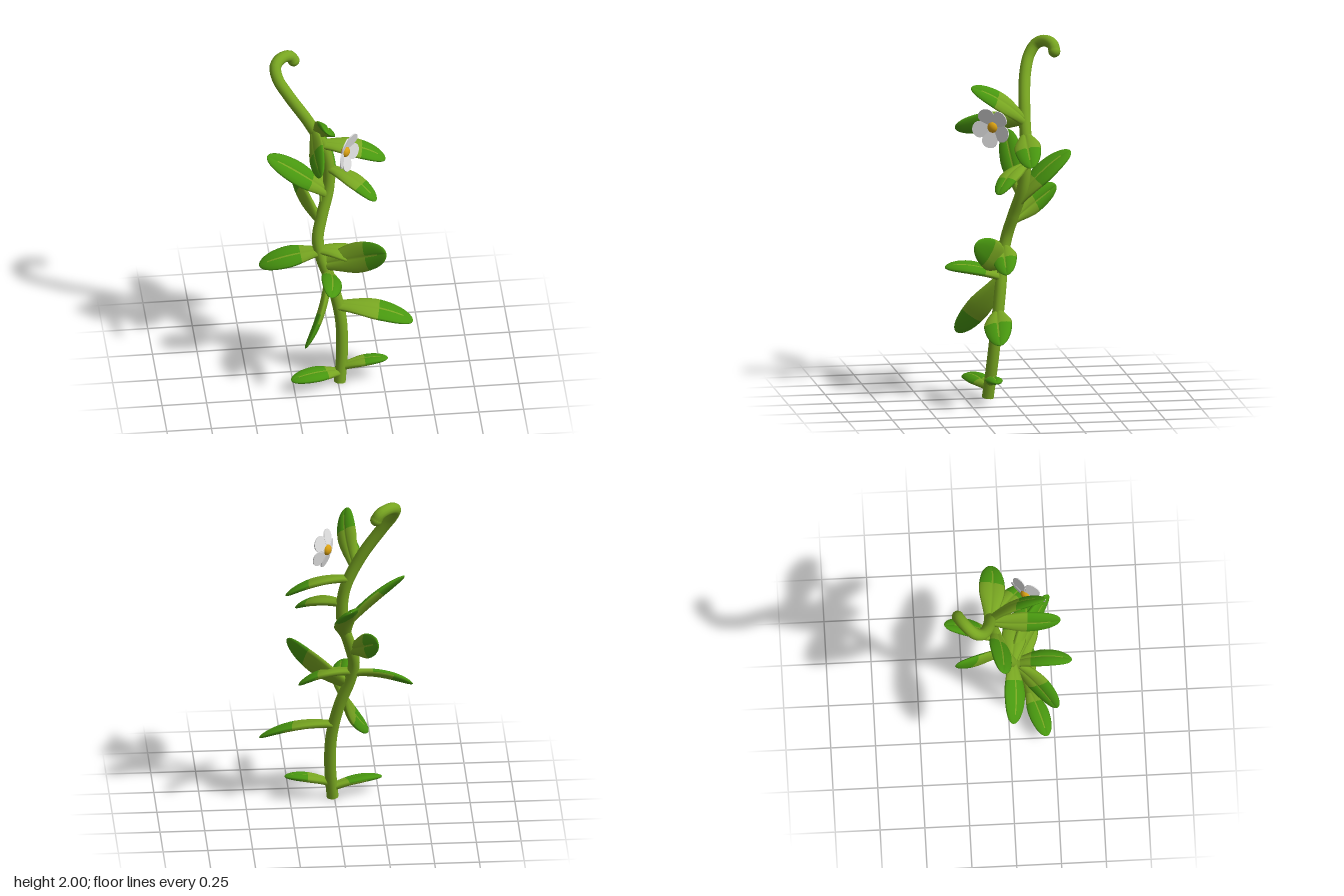
import * as THREE from 'three';

const V = (a) => new THREE.Vector3(...a);
const mat = (name, color) => {
  const m = new THREE.MeshStandardMaterial({ color });
  m.name = name;
  return m;
};

// Solid leaf: elliptical cross-sections swept along an arched midrib.
// Group 0 is the pale base and midrib, group 1 the darker blade.
function leafGeometry(a, tip, width, facing, bend, topSplit) {
  const b = V(tip);
  const chord = b.clone().sub(a).normalize();
  const up = V(facing).addScaledVector(chord, -V(facing).dot(chord)).normalize();
  const mid = a.clone().lerp(b, 0.5).addScaledVector(up, bend);
  const curve = new THREE.QuadraticBezierCurve3(a, mid, b);
  const deg = [0, 25, 52, 76, 86, 94, 104, 128, 155, 180, 215, 250, 290, 325];
  const M = deg.length, N = 20, pos = [], pale = [], dark = [];
  for (let i = 0; i <= N; i++) {
    const u = Math.sin((i / N) * Math.PI / 2);
    const p = curve.getPoint(u), t = curve.getTangent(u);
    const n = up.clone().addScaledVector(t, -up.dot(t)).normalize();
    const s = t.clone().cross(n);
    const round = Math.sqrt(Math.max(0.0004, 1 - Math.max(0, (u - 0.45) / 0.55) ** 2.3));
    const w = width / 2 * (0.4 + 0.6 * THREE.MathUtils.smoothstep(u, -0.1, 0.52)) * round;
    const h = 0.022 * round;
    deg.forEach((d, j) => {
      const r = d * Math.PI / 180;
      const groove = (j === 4 || j === 5) ? 0.72 : 1;
      const q = p.clone().addScaledVector(s, Math.cos(r) * w).addScaledVector(n, Math.sin(r) * h * groove);
      pos.push(q.x, q.y, q.z);
      if (i === N) return;
      const A = i * M + j, B = i * M + (j + 1) % M, D = A + M, C = B + M;
      const isPale = u < (j < 9 ? topSplit : 0.6) || (j === 4 && u < 0.85);
      (isPale ? pale : dark).push(A, D, B, D, C, B);
    });
  }
  const g = new THREE.BufferGeometry();
  g.setAttribute('position', new THREE.Float32BufferAttribute(pos, 3));
  g.setIndex([...pale, ...dark]);
  g.addGroup(0, pale.length, 0);
  g.addGroup(pale.length, dark.length, 1);
  g.computeVertexNormals();
  return g;
}

export function createModel() {
  const model = new THREE.Group();
  model.name = 'floweringVine';
  const stemGreen = mat('stemGreen', 0x78a621);
  const leafGreen = mat('leafGreen', 0x48970f);
  const petalWhite = mat('petalWhite', 0xe0e0e0);
  const centreYellow = mat('centreYellow', 0xd9a012);
  petalWhite.side = THREE.DoubleSide;
  const add = (parent, name, geo, material) => {
    const m = new THREE.Mesh(geo, material);
    m.name = name;
    parent.add(m);
    return m;
  };

  // Winding stem with a hooked top
  const path = [
    [0.01, 0.005, 0.125], [0.025, 0.2, 0.102], [0.02, 0.4, 0.078], [-0.02, 0.6, 0.05],
    [-0.085, 0.79, 0.022], [-0.1, 0.9, -0.002], [-0.075, 1.02, -0.035], [-0.03, 1.2, -0.083],
    [-0.042, 1.4, -0.1], [-0.13, 1.6, -0.107], [-0.25, 1.79, -0.132], [-0.307, 1.885, -0.165],
    [-0.316, 1.942, -0.205], [-0.278, 1.965, -0.25], [-0.225, 1.95, -0.285], [-0.205, 1.918, -0.289],
  ].map(V);
  const stem = new THREE.CatmullRomCurve3(path);
  add(model, 'stem', new THREE.TubeGeometry(stem, 120, 0.033, 14), stemGreen);
  add(model, 'stemTip', new THREE.SphereGeometry(0.034, 14, 10), stemGreen).position.copy(path[path.length - 1]);
  const foot = add(model, 'stemFoot', new THREE.CircleGeometry(0.033, 14), stemGreen);
  foot.position.copy(path[0]);
  foot.lookAt(path[0].clone().sub(stem.getTangent(0)));

  // Leaves, each growing from the stem at a given height:
  // height, tip, width, facing, arch, end of the pale area on top
  const up = [0, 1, 0], forward = [0, 1, 0.2], front = [0, 0.85, 0.5], side = [0.4, 1, 0];
  const leaves = [
    [0.09, [0.28, 0.14, 0.12], 0.1, up, 0.03, 0.5],
    [0.06, [-0.27, 0.083, 0.205], 0.12, forward, 0.03, 0.3],
    [0.475, [0.42, 0.385, 0.125], 0.16, forward, 0.06, 0.5],
    [0.67, [-0.2, 0.34, 0.265], 0.14, [-1, 0.1, -0.1], -0.05, 0.5],
    [0.82, [-0.43, 0.745, 0.01], 0.135, front, 0.05, 0.25],
    [0.74, [0.258, 0.935, 0.238], 0.175, [-0.5, 0.35, 0.75], -0.05, 0.6],
    [0.83, [0.205, 0.74, 0.05], 0.14, forward, 0.06, 0.55],
    [0.67, [-0.065, 0.74, 0.355], 0.125, side, 0.06, 0.3],
    [0.99, [-0.215, 1.155, -0.3], 0.14, [0.87, 0.1, -0.5], -0.02, 0.5],
    [1.1, [-0.062, 1.38, -0.355], 0.16, side, 0.05, 0.35],
    [1.15, [-0.38, 1.445, -0.045], 0.145, front, 0.03, 0.3],
    [1.46, [0.287, 1.36, -0.075], 0.15, forward, 0.06, 0.55],
    [1.3, [0.215, 1.2, 0.1], 0.125, up, 0.06, 0.6],
    [1.54, [-0.07, 1.755, 0.205], 0.135, [0.6, 0.75, 0], 0.06, 0.55],
    [1.55, [-0.11, 1.525, 0.29], 0.15, [-0.9, 0.45, 0], 0.02, 0.5],
  ];
  const stemPoints = stem.getPoints(400);
  leaves.forEach(([height, ...shape], i) => {
    const base = stemPoints.find((p) => p.y >= height);
    add(model, 'leaf' + (i + 1), leafGeometry(base, ...shape), [stemGreen, leafGreen]);
  });

  // Five-petalled flower with cupped petals
  const flower = new THREE.Group();
  flower.name = 'flower';
  flower.position.set(0.035, 1.55, 0.097);
  flower.rotation.y = Math.atan2(0.83, 0.55);
  const outline = new THREE.Shape();
  outline.moveTo(0.005, 0);
  outline.bezierCurveTo(0.03, -0.025, 0.05, -0.052, 0.09, -0.045);
  outline.bezierCurveTo(0.13, -0.03, 0.13, 0.03, 0.09, 0.045);
  outline.bezierCurveTo(0.05, 0.052, 0.03, 0.025, 0.005, 0);
  const petal = new THREE.ExtrudeGeometry(outline, { depth: 0.006, bevelEnabled: false, curveSegments: 10 });
  petal.rotateY(-0.3);
  for (let k = 0; k < 5; k++) {
    add(flower, 'petal' + (k + 1), petal, petalWhite).rotation.z = (118 + 72 * k) * Math.PI / 180;
  }
  const centre = add(flower, 'flowerCentre', new THREE.SphereGeometry(0.031, 16, 12), centreYellow);
  centre.scale.z = 0.8;
  centre.position.z = 0.01;
  model.add(flower);
  return model;
}
